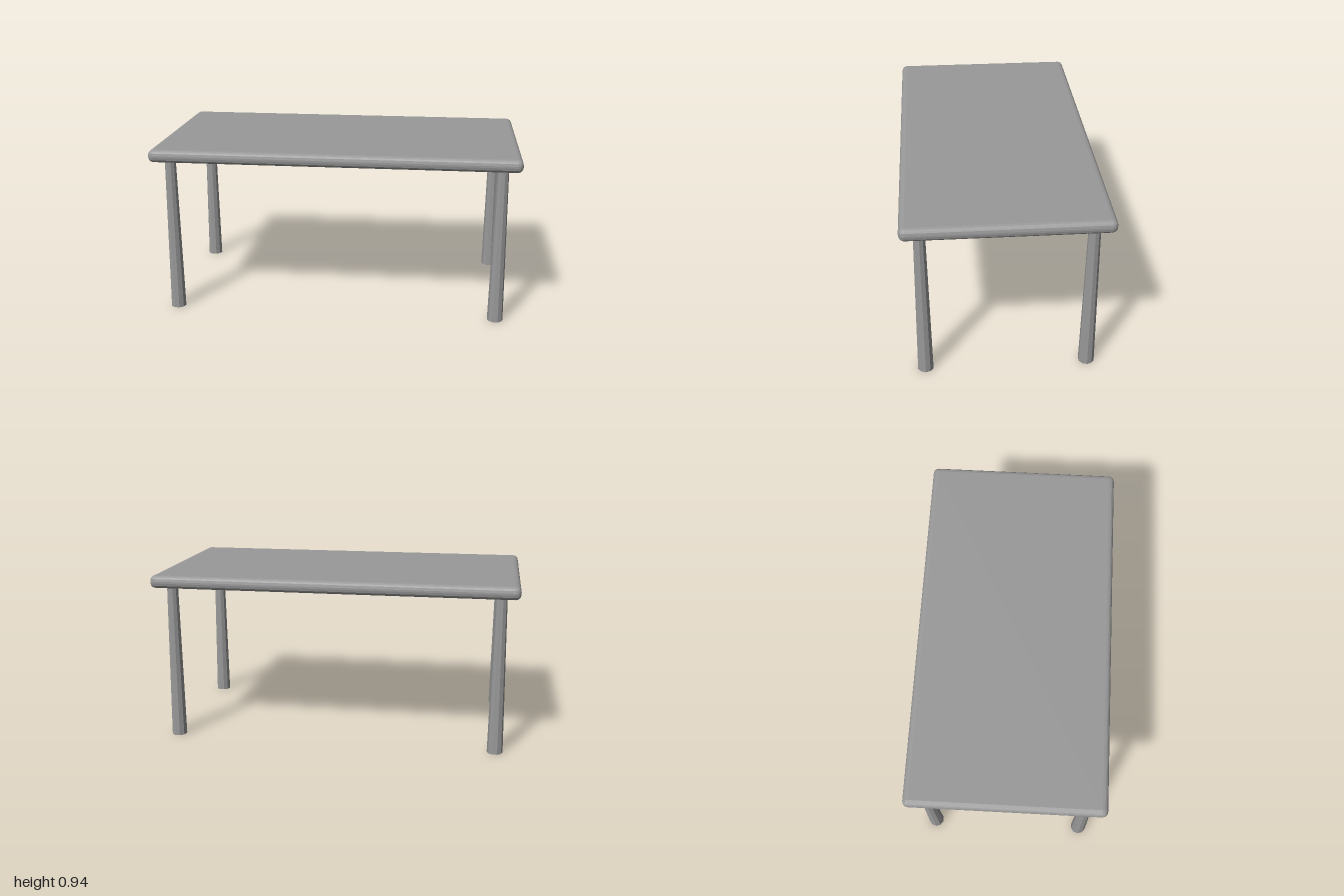
import * as THREE from 'three';
import { RoundedBoxGeometry } from 'three/addons/geometries/RoundedBoxGeometry.js';

export function createModel() {
  const model = new THREE.Group();
  model.name = 'table';
  const grey = new THREE.MeshStandardMaterial({ color: 0x999999, flatShading: true });
  grey.name = 'grey';

  // Table top: a slab with faceted, rounded edges
  const top = new THREE.Mesh(new RoundedBoxGeometry(2, 0.07, 1.06, 2, 0.03), grey);
  top.name = 'tableTop';
  top.position.y = 0.902;
  model.add(top);

  // Four faceted legs, wider at the floor
  const legHeight = 0.87;
  const legShape = new THREE.CylinderGeometry(0.031, 0.043, legHeight, 10);
  legShape.rotateY(Math.PI / 2);
  for (const x of [-1, 1]) {
    for (const z of [-1, 1]) {
      const leg = new THREE.Mesh(legShape, grey);
      leg.name = (z > 0 ? 'front' : 'back') + (x > 0 ? 'Left' : 'Right') + 'Leg';
      leg.position.set(x * 0.901, legHeight / 2, z * 0.432);
      model.add(leg);
    }
  }
  return model;
}
